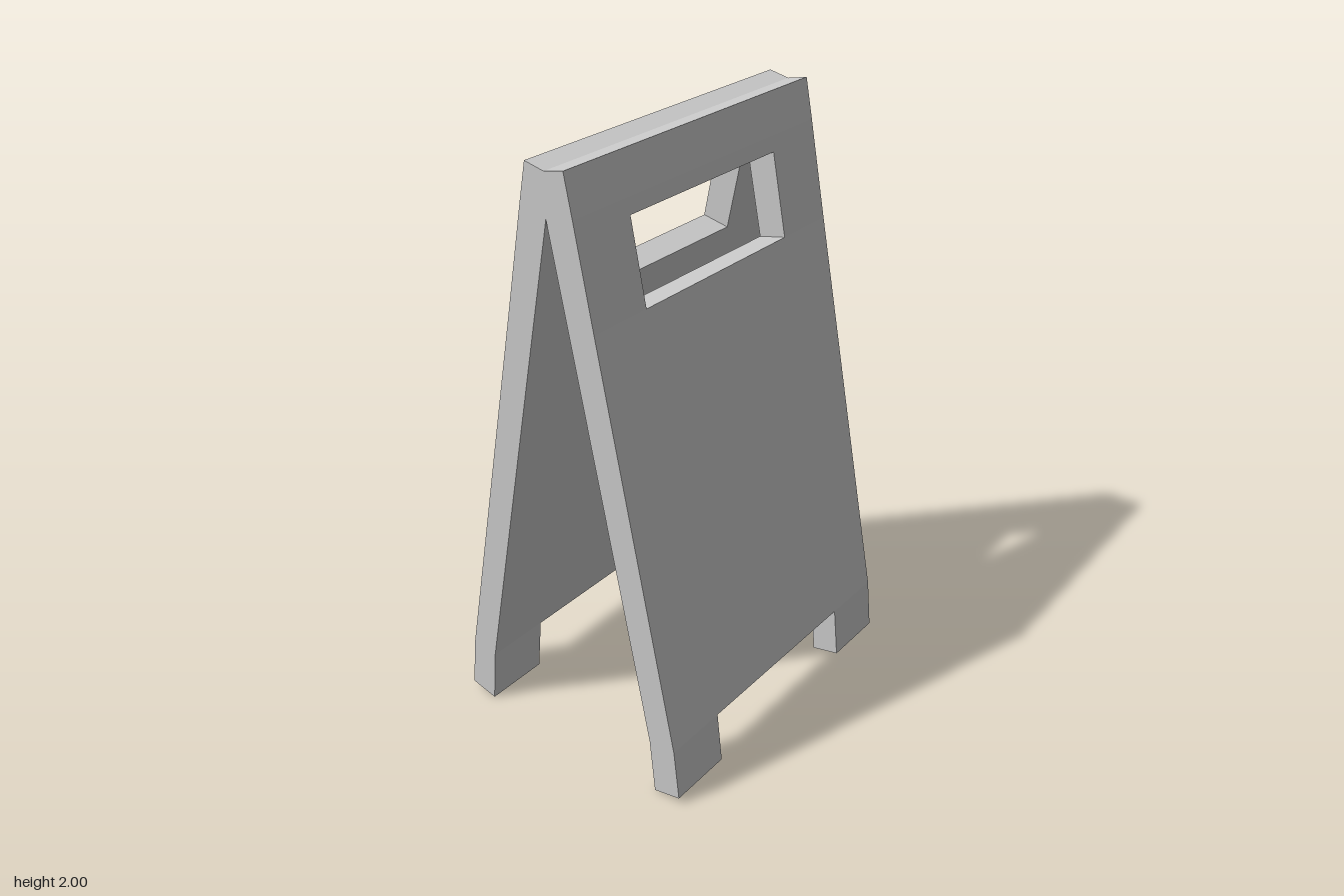
import * as THREE from 'three';

// Panel cross-section levels from foot to ridge: outer and inner [x, y]
const LEVELS = [
  { outer: [0.457, 0.022], inner: [0.36, 0] },       // foot
  { outer: [0.437, 0.2], inner: [0.34, 0.195] },     // knee
  { outer: [0.161, 1.55], inner: [0.066, 1.53] },    // handle slot bottom
  { outer: [0.107, 1.82], inner: [0.01, 1.8] },      // handle slot top
  { outer: [0.097, 1.87], inner: [0, 1.85] },        // panels meet
  { outer: [0.07, 2], inner: [0, 1.985] },           // ridge
];
const COLUMNS = [-0.57, -0.345, 0.345, 0.57];
// Solid cells per row: gaps are the notch between the feet and the handle slot
const SOLID = [[1, 0, 1], [1, 1, 1], [1, 0, 1], [1, 1, 1], [1, 1, 1]];

function panelGeometry(side) {
  const positions = [];
  const solid = (r, c) => Boolean(SOLID[r]?.[c]);
  const point = (face, r, c) => {
    const [x, y] = LEVELS[r][face];
    return [x * side, y, COLUMNS[c]];
  };
  const quad = (corners, flip) => {
    const q = flip !== (side < 0) ? [...corners].reverse() : corners;
    for (const i of [0, 1, 2, 0, 2, 3]) positions.push(...q[i]);
  };
  // Sheet face of one cell, wall along z, and wall along the slope
  const sheet = (f, r, c) => [point(f, r, c), point(f, r + 1, c), point(f, r + 1, c + 1), point(f, r, c + 1)];
  const ledge = (r, c) => [point('inner', r, c), point('inner', r, c + 1), point('outer', r, c + 1), point('outer', r, c)];
  const edge = (r, c) => [point('inner', r, c), point('outer', r, c), point('outer', r + 1, c), point('inner', r + 1, c)];

  for (let r = 0; r < SOLID.length; r++) {
    for (let c = 0; c < 3; c++) {
      if (!solid(r, c)) continue;
      quad(sheet('outer', r, c), false);
      if (r < 4) quad(sheet('inner', r, c), true); // joined at the ridge
      if (!solid(r + 1, c)) quad(ledge(r + 1, c), false);
      if (!solid(r - 1, c)) quad(ledge(r, c), true);
      if (!solid(r, c + 1)) quad(edge(r, c + 1), false);
      if (!solid(r, c - 1)) quad(edge(r, c), true);
    }
  }
  const geometry = new THREE.BufferGeometry();
  geometry.setAttribute('position', new THREE.Float32BufferAttribute(positions, 3));
  geometry.computeVertexNormals();
  return geometry;
}

export function createModel() {
  const model = new THREE.Group();
  model.name = 'foldingFloorSign';
  const material = new THREE.MeshStandardMaterial({ color: 0xcccccc, flatShading: true });
  // Two mirrored panels leaning together
  for (const [name, side] of [['leftPanel', 1], ['rightPanel', -1]]) {
    const panel = new THREE.Mesh(panelGeometry(side), material);
    panel.name = name;
    model.add(panel);
  }
  return model;
}
